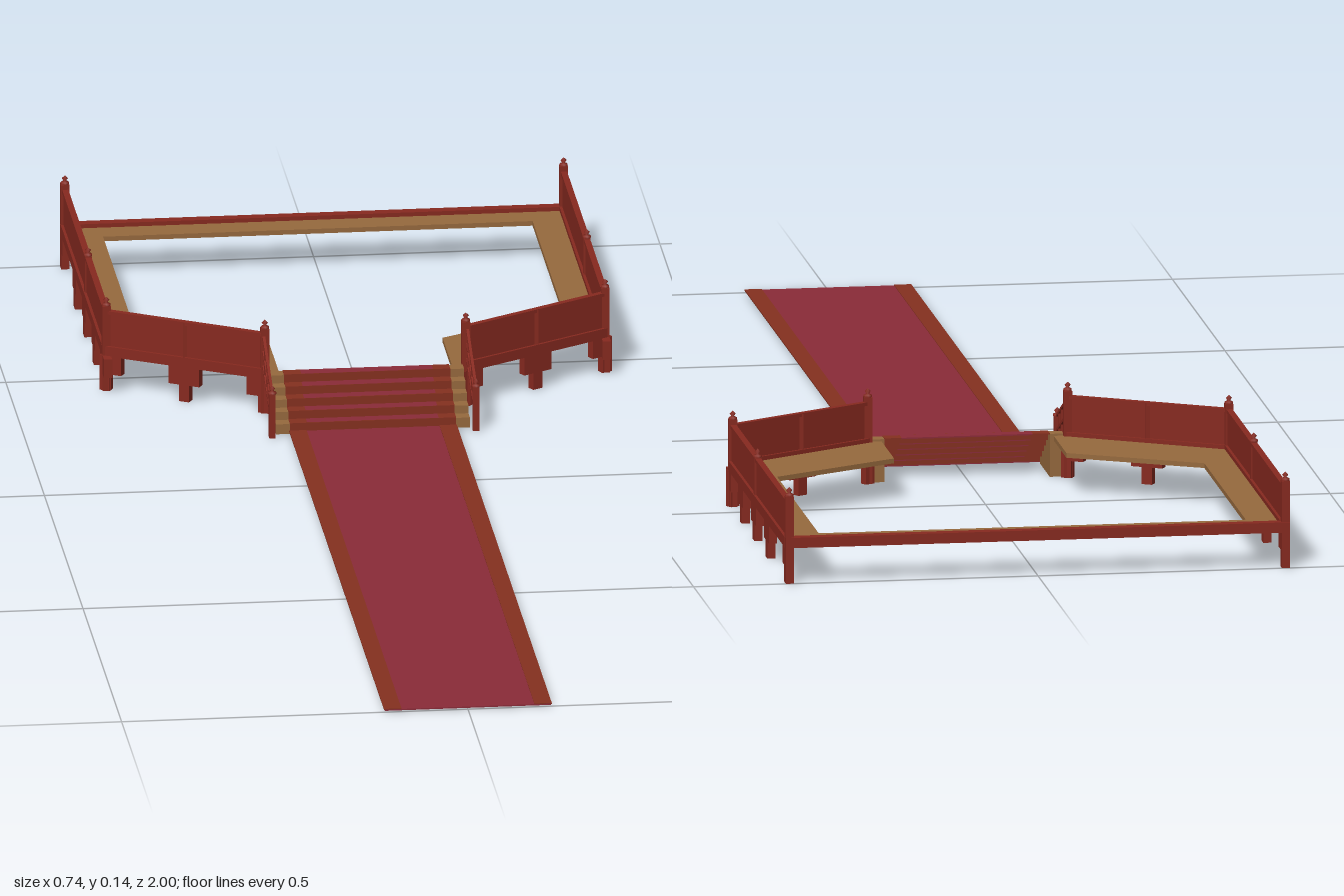
import * as THREE from 'three';

const mat = (name, color, side = THREE.FrontSide) => {
  const m = new THREE.MeshStandardMaterial({ color, side });
  m.name = name;
  return m;
};

export function createModel() {
  const red = mat('red wood', 0x86291f);
  const tan = mat('tan planks', 0x96693d);
  const crimson = mat('crimson carpet', 0x8a2b38);
  const border = mat('carpet border', 0x84301f);
  const model = new THREE.Group();
  model.name = 'terrace';

  const add = (name, geo, material, x = 0, y = 0, z = 0, parent = model) => {
    const m = new THREE.Mesh(geo, material);
    m.name = name;
    m.position.set(x, y, z);
    parent.add(m);
    return m;
  };
  const box = (name, material, x0, x1, y0, y1, z0, z1, parent) =>
    add(name, new THREE.BoxGeometry(x1 - x0, y1 - y0, z1 - z0), material,
      (x0 + x1) / 2, (y0 + y1) / 2, (z0 + z1) / 2, parent);

  // Straight board between two plan points [x, z], standing from y0 to y1
  const board = (name, a, b, y0, y1, thick, material = red) => {
    const dx = b[0] - a[0], dz = b[1] - a[1];
    const m = add(name, new THREE.BoxGeometry(Math.hypot(dx, dz), y1 - y0, thick), material,
      (a[0] + b[0]) / 2, (y0 + y1) / 2, (a[1] + b[1]) / 2);
    m.rotation.y = -Math.atan2(dz, dx);
    return m;
  };
  // Square bar between two 3D points
  const bar = (name, a, b, w) => {
    const p = new THREE.Vector3(...a), q = new THREE.Vector3(...b);
    const m = add(name, new THREE.BoxGeometry(w, w, p.distanceTo(q)), red);
    m.position.copy(p).lerp(q, 0.5);
    m.lookAt(q);
  };
  // Post with a turned finial
  const finial = new THREE.LatheGeometry([[0.006, 0], [0.006, 0.003], [0.002, 0.005],
    [0.0045, 0.0085], [0, 0.013]].map(p => new THREE.Vector2(...p)), 8);
  const post = (x, z, top, w = 0.012) => {
    box('post', red, x - w / 2, x + w / 2, 0, top, z - w / 2, z + w / 2);
    add('finial', finial, red, x, top, z);
  };
  // Leg with a wide bracket block, turned to follow its edge
  const support = (x, z, angle, from = -0.024, to = 0.024) => {
    const g = new THREE.Group();
    g.name = 'support';
    g.position.set(x, 0, z);
    g.rotation.y = angle;
    box('leg', red, -0.008, 0.008, 0, 0.053, -0.006, 0.006, g);
    box('bracket', red, from, to, 0.025, 0.053, -0.006, 0.006, g);
    model.add(g);
  };

  // Deck: outline open between the two front wings
  const half = [[0.125, -0.33], [0.145, -0.33], [0.36, -0.455], [0.36, -0.992]];
  const inner = [[0.31, -0.945], [0.31, -0.55], [0.125, -0.45]];
  const flip = pts => pts.map(([x, z]) => [-x, z]).reverse();
  const outline = [...half, ...flip(half), ...flip(inner).slice(0, 3), ...inner];
  const deckShape = new THREE.Shape(outline.map(([x, z]) => new THREE.Vector2(x, -z)));
  const deckGeo = new THREE.ExtrudeGeometry(deckShape, { depth: 0.007, bevelEnabled: false });
  deckGeo.rotateX(-Math.PI / 2);
  add('deck', deckGeo, tan, 0, 0.054, 0);

  // Back edge beam
  box('backBeam', red, -0.366, 0.366, 0.052, 0.067, -1, -0.985);

  for (const s of [-1, 1]) {
    const gate = [s * 0.145, -0.33], front = [s * 0.36, -0.455], back = [s * 0.36, -0.992];
    const slope = Math.atan2(0.125 * s, 0.215);

    // Edge beams, parapet panels and cap rails
    for (const [a, b] of [[gate, front], [front, back]]) {
      board('edgeBeam', a, b, 0.052, 0.067, 0.013);
      board('panel', a, b, 0.067, 0.116, 0.005);
      board('capRail', a, b, 0.115, 0.12, 0.009);
    }

    // Posts and slim dividers
    for (const [x, z] of [gate, front, back]) post(x, z, 0.127);
    post(s * 0.36, -0.692, 0.121, 0.01);
    const mid = [s * 0.2525, -0.3925];
    box('divider', red, mid[0] - 0.004, mid[0] + 0.004, 0.06, 0.119, mid[1] - 0.004, mid[1] + 0.004);

    // Supports under the edges
    for (const z of [-0.455, -0.57, -0.692, -0.815]) support(s * 0.36, z, Math.PI / 2);
    support(s * 0.36, -0.992, Math.PI / 2, -0.024, 0.006);
    support(...mid, slope);
    support(...gate, slope, s > 0 ? 0 : -0.026, s > 0 ? 0.026 : 0);
    support(...front, slope, s > 0 ? -0.026 : 0, s > 0 ? 0 : 0.026);

    // Stair railing
    const x = s * 0.147;
    post(x, -0.217, 0.066, 0.009);
    for (const dy of [0, 0.022, 0.044])
      bar('stairRail', [x, 0.066 - dy, -0.217], [x, 0.117 - dy, -0.33], 0.004);
    for (let i = 1; i < 5; i++) {
      const z = -0.217 - i * 0.0226, y = 0.066 + i * 0.0102;
      box('baluster', red, x - 0.0015, x + 0.0015, y - 0.046, y, z - 0.0015, z + 0.0015);
    }
  }

  // Stairs: plank blocks at the sides, folded runner in the middle
  const rise = 0.012, run = 0.019;
  for (let i = 0; i < 5; i++) {
    const y = 0.004 + i * rise, z = -0.23 - i * run;
    for (const s of [-1, 1])
      box('stairSide', tan, s * 0.13 - 0.01, s * 0.13 + 0.01, 0, y + rise - 0.001, z - run, z);
    box('runnerRiser', border, -0.12, 0.12, y, y + rise, z - 0.002, z);
    box('runnerTread', crimson, -0.095, 0.095, y + rise - 0.002, y + rise, z - run, z - 0.0005);
    for (const s of [-1, 1])
      box('runnerTreadBorder', border, s * 0.1075 - 0.0125, s * 0.1075 + 0.0125,
        y + rise - 0.002, y + rise, z - run, z - 0.0005);
  }

  // Long carpet with border strips
  box('carpet', crimson, -0.12, 0.12, 0.002, 0.004, -0.23, 1);
  for (const s of [-1, 1])
    box('carpetBorder', border, s * 0.1085 - 0.0125, s * 0.1085 + 0.0125, 0.003, 0.005, -0.23, 1);

  return model;
}
